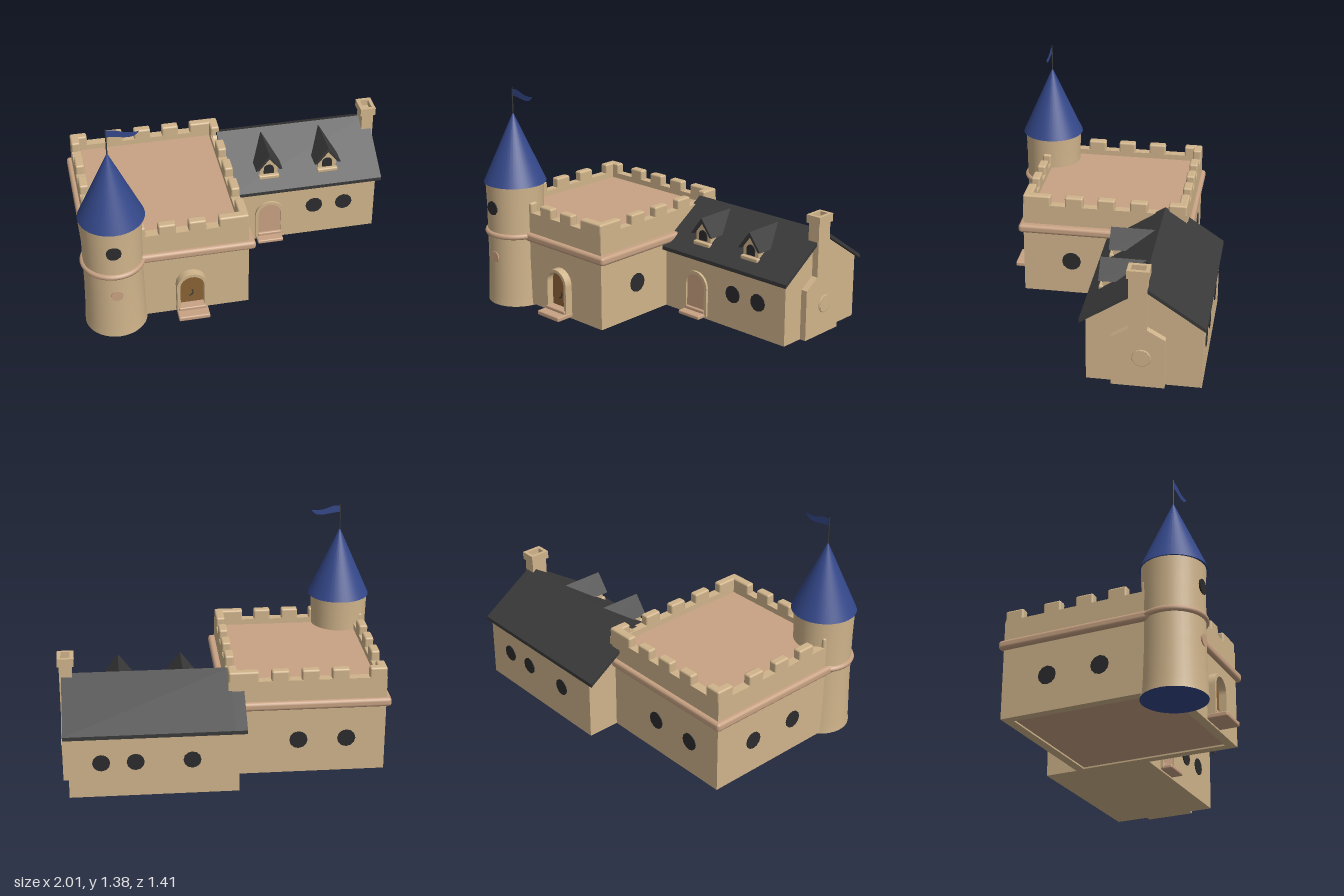
import * as THREE from 'three';
import { RoundedBoxGeometry } from 'three/addons/geometries/RoundedBoxGeometry.js';

export function createModel() {
  const root = new THREE.Group();
  const material = (name, color, extra = {}) => {
    const m = new THREE.MeshStandardMaterial({ color, ...extra });
    m.name = name;
    return m;
  };
  const stone = material('sandstone', 0xd0b48b);
  const clay = material('pinkStone', 0xc8a283);
  const slate = material('slate', 0x3a3a3a);
  const blue = material('blueRoof', 0x34488a, { side: THREE.DoubleSide });
  const glass = material('darkGlass', 0x2c2c2e);
  const wood = material('wood', 0x8a6236);

  const add = (name, geo, mat, x = 0, y = 0, z = 0, parent = root) => {
    const m = new THREE.Mesh(geo, mat);
    m.name = name;
    m.position.set(x, y, z);
    parent.add(m);
    return m;
  };
  // Box given by its limits on each axis, optionally with rounded edges
  const block = (name, mat, [x0, x1], [y0, y1], [z0, z1], r = 0, parent = root) => {
    const s = [x1 - x0, y1 - y0, z1 - z0];
    const geo = r ? new RoundedBoxGeometry(...s, 2, r) : new THREE.BoxGeometry(...s);
    return add(name, geo, mat, (x0 + x1) / 2, (y0 + y1) / 2, (z0 + z1) / 2, parent);
  };
  const polygon = (pts) => new THREE.Shape(pts.map(([a, b]) => new THREE.Vector2(a, b)));
  const extrude = (shape, depth) =>
    new THREE.ExtrudeGeometry(shape, { depth, bevelEnabled: false, curveSegments: 10 });
  // Profile of [z, y] points swept from x0 to x1
  const alongX = (name, mat, pts, x0, x1) =>
    add(name, extrude(polygon(pts.map(([z, y]) => [-z, y])), x1 - x0).rotateY(Math.PI / 2), mat, x0);
  // Thin round plate facing the direction given by a turn about y
  const disc = (name, mat, x, y, z, turn, r) => {
    const geo = new THREE.CylinderGeometry(r, r, 0.009, 12).rotateX(Math.PI / 2).rotateY(turn);
    return add(name, geo, mat, x, y, z);
  };
  const arch = (half, y0, top, Type = THREE.Shape) => {
    const s = new Type();
    s.moveTo(-half, y0);
    s.lineTo(half, y0);
    s.lineTo(half, top - half);
    s.absarc(0, top - half, half, 0, Math.PI, false);
    s.closePath();
    return s;
  };

  // Square keep: four walls, roof deck, underside and belt course
  const [kx0, kx1, kz0, kz1, t] = [-0.945, 0, -0.485, 0.545, 0.055];
  const wallY = [0.01, 0.615];
  block('keepFrontWall', stone, [kx0, kx1], wallY, [kz1 - t, kz1]);
  block('keepBackWall', stone, [kx0, kx1], wallY, [kz0, kz0 + t]);
  block('keepRightWall', stone, [kx0, kx0 + t], wallY, [kz0 + t, kz1 - t]);
  block('keepLeftWall', stone, [kx1 - t, kx1], wallY, [kz0 + t, kz1 - t]);
  block('keepDeck', clay, [kx0 + t, kx1 - t], [0.55, 0.58], [kz0 + t, kz1 - t]);
  block('keepUnderside', clay, [kx0 + t, kx1 - t], [0.02, 0.04], [kz0 + t, kz1 - t]);
  block('keepBelt', clay, [-0.975, 0.04], [0.43, 0.485], [-0.51, 0.572], 0.02);

  // Merlons along each parapet
  const top = [0.59, 0.677];
  for (const [a, b] of [[-0.18, 0], [-0.36, -0.255], [-0.54, -0.435], [-0.72, -0.615], [-0.945, -0.84]]) {
    block('frontMerlon', stone, [a, b], top, [kz1 - t, kz1], 0.012);
    block('backMerlon', stone, [a, b], top, [kz0, kz0 + t], 0.012);
  }
  for (const [a, b] of [[0.37, 0.545], [0.165, 0.28], [-0.035, 0.075], [-0.24, -0.13], [-0.485, -0.37]]) {
    block('leftMerlon', stone, [kx1 - t, kx1], top, [a, b], 0.012);
    block('rightMerlon', stone, [kx0, kx0 + t], top, [a, b], 0.012);
  }

  // Round corner tower with cone roof, belt, pole and flag
  const [tx, tz] = [-0.81, 0.507];
  const drum = [[0.188, 0], [0.184, 0.06], [0.178, 0.3], [0.178, 0.62], [0.183, 0.79]];
  add('towerWall', new THREE.LatheGeometry(drum.map(([r, y]) => new THREE.Vector2(r, y)), 36), stone, tx, 0, tz);
  add('towerBase', new THREE.CircleGeometry(0.188, 36).rotateX(Math.PI / 2), blue, tx, 0.001, tz);
  add('towerBelt', new THREE.TorusGeometry(0.178, 0.018, 8, 40).rotateX(Math.PI / 2), clay, tx, 0.46, tz);
  add('towerRoof', new THREE.ConeGeometry(0.196, 0.44, 40), blue, -0.805, 1.0, 0.507);
  add('flagPole', new THREE.CylinderGeometry(0.004, 0.004, 0.17, 8), slate, -0.805, 1.29, 0.507);
  const flag = new THREE.Shape();
  flag.moveTo(0, 1.365);
  flag.bezierCurveTo(0.06, 1.385, 0.09, 1.325, 0.187, 1.345);
  flag.bezierCurveTo(0.15, 1.28, 0.08, 1.325, 0, 1.325);
  add('flag', new THREE.ShapeGeometry(flag), blue, -0.805, 0, 0.507);
  disc('towerWindow', glass, -0.82, 0.635, tz + 0.178, 0, 0.045);
  disc('towerBlindWindow', clay, -0.815, 0.315, tz + 0.178, 0, 0.036);

  // House body with gables
  alongX('houseBody', stone,
    [[-0.02, 0.01], [-0.02, 0.405], [-0.35, 0.63], [-0.69, 0.405], [-0.69, 0.01]].reverse(), -0.045, 0.95);

  // House roof, with a strip that laps behind the keep
  alongX('houseRoof', slate,
    [[0.015, 0.413], [-0.35, 0.655], [-0.71, 0.413], [-0.71, 0.39], [-0.35, 0.63], [0.015, 0.39]], -0.02, 0.978);
  alongX('houseRoofLap', slate, [[-0.49, 0.561], [-0.71, 0.413], [-0.71, 0.39], [-0.49, 0.537]], -0.092, -0.02);

  // Dormers
  for (const x of [0.26, 0.64]) {
    const d = new THREE.Group();
    d.name = 'dormer';
    d.position.x = x;
    root.add(d);
    const body = polygon([[-0.058, 0.44], [0.058, 0.44], [0.058, 0.54], [0, 0.615], [-0.058, 0.54]]);
    add('dormerBody', extrude(body, 0.255), stone, 0, 0, -0.33, d);
    const lid = polygon([[-0.085, 0.525], [-0.066, 0.525], [0, 0.61], [0.066, 0.525], [0.085, 0.525], [0, 0.638]]);
    add('dormerRoof', extrude(lid, 0.28), slate, 0, 0, -0.335, d);
    add('dormerWindow', extrude(arch(0.032, 0.49, 0.555), 0.006), glass, 0, 0, -0.075, d);
    block('dormerSill', stone, [-0.066, 0.066], [0.455, 0.483], [-0.085, -0.053], 0.008, d);
  }

  // Chimney: wide hearth tapering to a shaft, with a hollow cap
  alongX('chimney', stone, [[-0.17, 0.01], [-0.17, 0.325], [-0.268, 0.385], [-0.268, 0.72],
    [-0.375, 0.72], [-0.375, 0.385], [-0.48, 0.325], [-0.48, 0.01]].reverse(), 0.915, 0.99);
  const cap = polygon([[-0.049, -0.064], [0.049, -0.064], [0.049, 0.064], [-0.049, 0.064]]);
  cap.holes.push(polygon([[-0.027, -0.042], [-0.027, 0.042], [0.027, 0.042], [0.027, -0.042]]));
  add('chimneyCap', extrude(cap, 0.05).rotateX(-Math.PI / 2), stone, 0.951, 0.71, -0.322);
  disc('hearthPlate', stone, 0.992, 0.2, -0.345, Math.PI / 2, 0.05);
  add('hearthRim', new THREE.TorusGeometry(0.05, 0.006, 6, 20).rotateY(Math.PI / 2), stone, 0.99, 0.2, -0.345);

  // Arched doorways with steps
  const doorway = (name, x, wallZ, depth, height, panel) => {
    const g = new THREE.Group();
    g.name = name;
    g.position.set(x, 0, wallZ);
    root.add(g);
    const frame = arch(0.093, 0.03, height);
    frame.holes.push(arch(0.073, 0.05, height - 0.02, THREE.Path));
    add('doorFrame', extrude(frame, depth + 0.03), stone, 0, 0, -0.03, g);
    add('doorPanel', extrude(arch(0.08, 0.04, height - 0.01), 0.008), panel, 0, 0, -0.003, g);
    return g;
  };
  const keepDoor = doorway('keepDoorway', -0.355, kz1, 0.05, 0.32, wood);
  add('doorHandle', new THREE.TorusGeometry(0.03, 0.004, 6, 12, 2).rotateZ(-1.4), slate, -0.02, 0.15, 0.008, keepDoor);
  block('keepStep', clay, [-0.45, -0.26], [0.02, 0.05], [0.53, 0.665], 0.008);
  block('keepThreshold', clay, [-0.44, -0.27], [0.04, 0.07], [0.53, 0.605], 0.008);
  doorway('houseDoorway', 0.257, -0.02, 0.015, 0.305, clay);
  block('houseStep', clay, [0.17, 0.337], [0.02, 0.045], [-0.05, 0.052], 0.008);
  block('houseThreshold', clay, [0.18, 0.335], [0.035, 0.065], [-0.05, 0], 0.008);

  // Round windows
  for (const x of [0.55, 0.745]) disc('houseFrontWindow', glass, x, 0.23, -0.02, 0, 0.055);
  for (const x of [0.76, 0.56, 0.23]) disc('houseBackWindow', glass, x, 0.23, -0.69, 0, 0.052);
  for (const x of [-0.42, -0.71]) disc('keepBackWindow', glass, x, 0.225, kz0, 0, 0.055);
  for (const z of [-0.2, 0.125]) disc('keepRightWindow', glass, kx0, 0.225, z, Math.PI / 2, 0.055);
  disc('keepLeftWindow', glass, kx1, 0.235, 0.24, Math.PI / 2, 0.06);

  return root;
}
